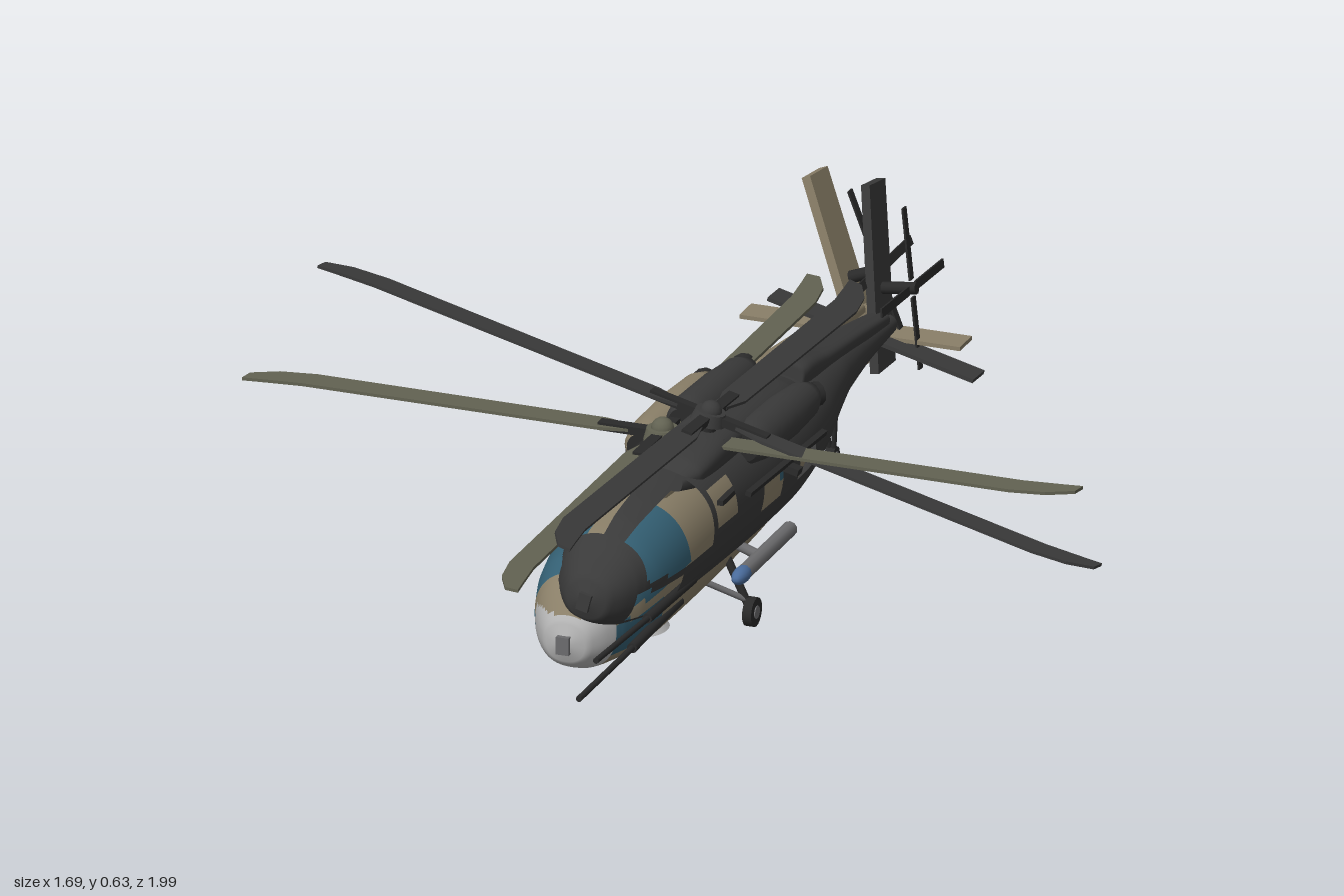
import * as THREE from 'three';

const mat = (name, color, side = THREE.FrontSide) => {
  const m = new THREE.MeshStandardMaterial({ color, side });
  m.name = name;
  return m;
};
const tan = mat('tan paint', 0x8a7f68);
const charcoal = mat('charcoal paint', 0x3a3a3a, THREE.DoubleSide);
const glass = mat('blue glass', 0x346074);
const olive = mat('olive blade', 0x626252);
const black = mat('black metal', 0x2a2a2a);
const grey = mat('light grey', 0xb4b4b4);
const steel = mat('steel grey', 0x6c6c6e);
const blue = mat('blue tip', 0x4a6c9c);

const HUB = new THREE.Vector3(0, 0.385, 0.16);

function add(parent, name, geo, material, x = 0, y = 0, z = 0) {
  const m = new THREE.Mesh(geo, material);
  m.name = name;
  m.position.set(x, y, z);
  parent.add(m);
  return m;
}

// Rod between two points
function rod(parent, name, a, b, r, material) {
  const p = new THREE.Vector3(...a), q = new THREE.Vector3(...b);
  const m = add(parent, name, new THREE.CylinderGeometry(r, r, p.distanceTo(q), 10), material);
  m.position.copy(p).add(q).multiplyScalar(0.5);
  m.quaternion.setFromUnitVectors(new THREE.Vector3(0, 1, 0), q.sub(p).normalize());
  return m;
}

// Smooth loft along z through sections [z, bottom, top, half width];
// pick(x, y, z, a) chooses a material slot per face, or -1 for an opening
function loft(sections, power, pick = () => 0, steps = 6, sides = 64) {
  const curve = new THREE.CatmullRomCurve3(
    sections.map(s => new THREE.Vector3(s[1], s[2], s[3])), false, 'catmullrom', 0.5);
  const pos = [], lists = [[], [], []], n = (sections.length - 1) * steps;
  const bend = v => Math.sign(v) * Math.pow(Math.abs(v), 2 / power);
  for (let i = 0; i <= n; i++) {
    const k = Math.min(Math.floor(i / steps), sections.length - 2);
    const z = THREE.MathUtils.lerp(sections[k][0], sections[k + 1][0], i / steps - k);
    const s = curve.getPoint(i / n);
    for (let j = 0; j < sides; j++) {
      const a = j / sides * Math.PI * 2;
      pos.push(s.z * bend(Math.sin(a)), (s.x + s.y) / 2 + (s.y - s.x) / 2 * bend(Math.cos(a)), z);
    }
  }
  const all = [];
  for (let i = 0; i < n; i++) for (let j = 0; j < sides; j++) {
    const j2 = (j + 1) % sides;
    const p = i * sides + j, q = i * sides + j2, r = p + sides, t = q + sides;
    const f = [p, q, r, q, t, r];
    all.push(...f);
    const mid = c => (pos[p * 3 + c] + pos[t * 3 + c]) / 2;
    const slot = pick(mid(0), mid(1), mid(2), Math.abs(Math.sin((j + 0.5) / sides * Math.PI * 2)));
    if (slot >= 0) lists[slot].push(...f);
  }
  const g = new THREE.BufferGeometry();
  g.setAttribute('position', new THREE.Float32BufferAttribute(pos, 3));
  g.setIndex(all);
  g.computeVertexNormals();
  g.setIndex(lists.flat());
  let start = 0;
  lists.forEach((l, k) => { if (l.length) g.addGroup(start, l.length, k); start += l.length; });
  return g;
}

const BODY = [
  [0.665, 0.145, 0.155, 0.005], [0.65, 0.108, 0.195, 0.045], [0.61, 0.086, 0.24, 0.075],
  [0.58, 0.079, 0.262, 0.09], [0.53, 0.072, 0.285, 0.105], [0.45, 0.067, 0.303, 0.117],
  [0.32, 0.064, 0.316, 0.121], [0.2, 0.063, 0.32, 0.122], [0.06, 0.064, 0.32, 0.122],
  [-0.04, 0.067, 0.32, 0.122], [-0.13, 0.073, 0.32, 0.121], [-0.22, 0.084, 0.318, 0.117],
  [-0.35, 0.112, 0.312, 0.1], [-0.45, 0.148, 0.304, 0.077], [-0.55, 0.183, 0.296, 0.056],
  [-0.7, 0.208, 0.278, 0.038], [-0.86, 0.222, 0.262, 0.025],
];

// Which fuselage faces are windows
function isWindow(x, y, z, a, open) {
  const within = (z0, z1, y0, y1) => z > z0 && z < z1 && y > y0 && y < y1;
  if (within(0.32, 0.58, 0.2, 0.4) && a > 0.2) return true;
  if (within(0.45, 0.6, 0.115, 0.18)) return true;
  if (open && within(0.2, 0.3, 0.235, 0.3)) return true;
  return within(-0.04, 0.06, 0.2, 0.255) || within(-0.22, -0.13, 0.2, 0.255);
}

function bladeGeometry() {
  const s = new THREE.Shape([
    [0.06, -0.012], [0.12, -0.028], [0.7, -0.03], [0.77, -0.018], [0.82, 0.008],
    [0.825, 0.036], [0.78, 0.03], [0.71, 0.022], [0.12, 0.022], [0.06, 0.01],
  ].map(p => new THREE.Vector2(...p)));
  return new THREE.ExtrudeGeometry(s, { depth: 0.006, bevelEnabled: false })
    .translate(0, 0, -0.003).rotateX(-Math.PI / 2);
}

function mainRotor(parent, bladeMat) {
  const rotor = new THREE.Group();
  rotor.name = 'mainRotor';
  rotor.position.copy(HUB);
  parent.add(rotor);
  add(rotor, 'mast', new THREE.CylinderGeometry(0.018, 0.024, 0.07, 16), black, 0, -0.035, 0);
  add(rotor, 'hub', new THREE.CylinderGeometry(0.03, 0.036, 0.024, 20), bladeMat);
  add(rotor, 'hubCap', new THREE.SphereGeometry(0.022, 16, 8), bladeMat, 0, 0.01, 0);
  for (let i = 0; i < 4; i++) {
    const arm = new THREE.Group();
    arm.name = 'rotorArm';
    arm.rotation.y = i * Math.PI / 2;
    rotor.add(arm);
    add(arm, 'blade', bladeGeometry(), bladeMat);
    add(arm, 'bladeGrip', new THREE.BoxGeometry(0.1, 0.016, 0.022), black, 0.075, 0, 0);
  }
}

function tail(parent, paint) {
  add(parent, 'stabilizer', new THREE.BoxGeometry(0.44, 0.008, 0.06), paint, 0, 0.227, -0.82);
  // Fin leaning to one side, carrying the tail rotor
  const fin = new THREE.Group();
  fin.name = 'tailFin';
  fin.position.y = 0.25;
  fin.rotation.z = 0.37;
  parent.add(fin);
  const outline = new THREE.Shape([[-0.775, -0.085], [-0.865, -0.085], [-0.905, 0.27], [-0.825, 0.28]]
    .map(p => new THREE.Vector2(...p)));
  add(fin, 'finPanel', new THREE.ExtrudeGeometry(outline, { depth: 0.018, bevelEnabled: false })
    .translate(0, 0, -0.009).rotateY(-Math.PI / 2), paint);
  rod(fin, 'tailRotorShaft', [0, 0.07, -0.838], [0.08, 0.07, -0.838], 0.012, black);
  for (let i = 0; i < 4; i++) {
    const b = add(fin, 'tailRotorBlade',
      new THREE.BoxGeometry(0.004, 0.145, 0.018).translate(0, 0.09, 0), black, 0.07, 0.07, -0.838);
    b.rotation.x = i * Math.PI / 2;
  }
}

function helicopter(name, paint, bladeMat, seeThrough) {
  const g = new THREE.Group();
  g.name = name;
  const pick = (x, y, z, a) => {
    if (isWindow(x, y, z, a, seeThrough)) return seeThrough ? -1 : 1;
    return !seeThrough && z > 0.6 && y < 0.2 ? 2 : 0;
  };
  add(g, 'fuselage', loft(BODY, 2.3, pick), [paint, glass, grey]);
  add(g, 'noseSensor', new THREE.BoxGeometry(0.025, 0.035, 0.02), seeThrough ? paint : steel, 0, 0.15, 0.66);
  // Fairings along the roof and the tail boom
  add(g, 'rotorPylon', loft([[0.32, 0.28, 0.312, 0.03], [0.28, 0.28, 0.34, 0.055], [0.16, 0.28, 0.36, 0.06],
    [-0.05, 0.28, 0.355, 0.055], [-0.22, 0.28, 0.335, 0.045], [-0.3, 0.28, 0.312, 0.03]], 3, undefined, 4, 32), paint);
  add(g, 'boomSpine', loft([[-0.299, 0.27, 0.29, 0.005], [-0.3, 0.25, 0.345, 0.035], [-0.45, 0.25, 0.325, 0.032],
    [-0.65, 0.24, 0.302, 0.026], [-0.82, 0.23, 0.278, 0.02]], 4, undefined, 4, 32), paint);
  for (const s of [-1, 1]) {
    // Engines
    const profile = [[0.001, -0.24], [0.026, -0.24], [0.038, -0.2], [0.044, -0.1], [0.044, 0.04], [0.036, 0.09], [0.028, 0.1]];
    add(g, 'engine', new THREE.LatheGeometry(profile.map(p => new THREE.Vector2(...p)), 24)
      .rotateX(Math.PI / 2), paint, s * 0.067, 0.322, 0);
    rod(g, 'engineIntake', [s * 0.067, 0.322, 0.08], [s * 0.067, 0.322, 0.098], 0.03, black);
    rod(g, 'engineExhaust', [s * 0.067, 0.322, -0.23], [s * 0.08, 0.326, -0.255], 0.024, black);
    // Cabin rail and side fitting
    add(g, 'sideRail', new THREE.BoxGeometry(0.012, 0.01, 0.4), black, s * 0.119, 0.266, -0.03);
    add(g, 'sideFitting', new THREE.BoxGeometry(0.035, 0.014, 0.025), black, s * 0.13, 0.255, 0.06 - 0.1);
  }
  rod(g, 'probe', [0.112, 0.137, 0.4], [0.112, 0.137, 0.87], 0.006, black);
  rod(g, 'probeSleeve', [0.108, 0.137, 0.35], [0.112, 0.137, 0.6], 0.01, black);
  mainRotor(g, bladeMat);
  tail(g, paint);
  return g;
}

function wheel(parent, x, y, z, r) {
  add(parent, 'wheel', new THREE.CylinderGeometry(r, r, 0.018, 20).rotateZ(Math.PI / 2), black, x, y, z);
  add(parent, 'wheelHub', new THREE.CylinderGeometry(r * 0.45, r * 0.45, 0.022, 14).rotateZ(Math.PI / 2), steel, x, y, z);
}

function undercarriage(g) {
  for (const s of [-1, 1]) {
    rod(g, 'gearStrut', [s * 0.1, 0.14, 0.1], [s * 0.152, 0.03, 0.1], 0.008, black);
    rod(g, 'gearBrace', [s * 0.08, 0.09, 0.14], [s * 0.145, 0.05, 0.1], 0.006, steel);
    wheel(g, s * 0.155, 0.028, 0.1, 0.028);
    // Stores carried on stub arms
    rod(g, 'stubArm', [s * 0.1, 0.15, 0.07], [s * 0.16, 0.128, 0.07], 0.01, steel);
    rod(g, 'sidePod', [s * 0.16, 0.127, -0.08], [s * 0.16, 0.127, 0.16], 0.015, steel);
    add(g, 'podTip', new THREE.SphereGeometry(0.016, 14, 10).scale(1, 1, 2.2), blue, s * 0.16, 0.127, 0.165);
    rod(g, 'tailStrut', [s * 0.014, 0.135, -0.685], [s * 0.003, 0.018, -0.7], 0.005, black);
  }
  wheel(g, 0, 0.017, -0.7, 0.017);
  add(g, 'bellyDish', new THREE.CylinderGeometry(0.05, 0.065, 0.018, 32), grey, 0, 0.062, 0.3);
}

export function createModel() {
  const model = new THREE.Group();
  model.name = 'helicopterPair';

  const first = helicopter('tanHelicopter', tan, olive, false);
  undercarriage(first);
  first.position.x = -0.022;
  model.add(first);

  // Second, smaller airframe banked and pitched about its rotor hub
  const pivot = new THREE.Group();
  pivot.name = 'bankedPivot';
  pivot.position.set(0.07, 0.432, 0.155);
  pivot.rotation.set(-0.054, 0, -0.243);
  pivot.scale.setScalar(0.965);
  const second = helicopter('charcoalHelicopter', charcoal, charcoal, true);
  second.position.copy(HUB).negate();
  pivot.add(second);
  model.add(pivot);
  return model;
}
